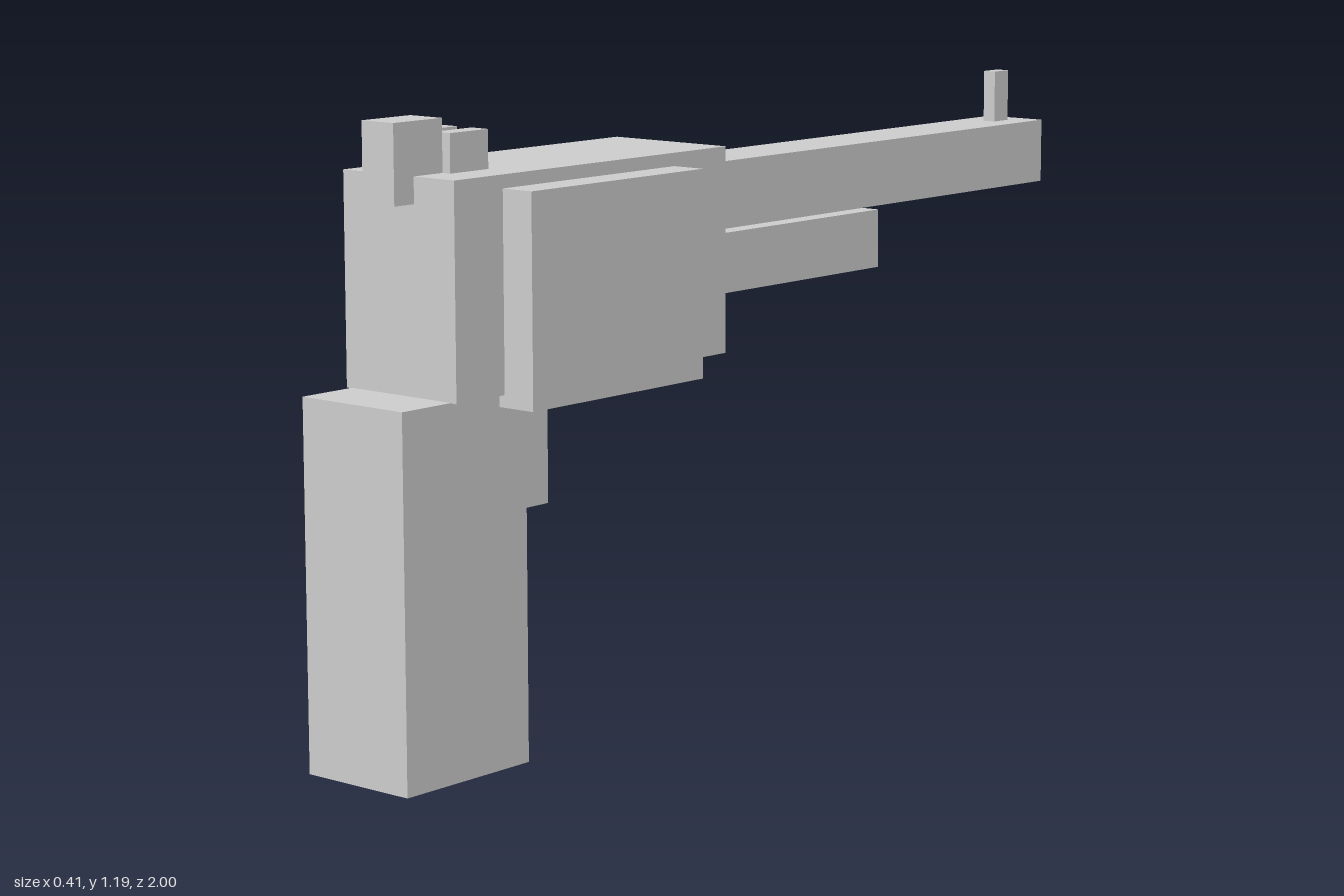
import * as THREE from 'three';

const material = new THREE.MeshStandardMaterial({ color: 0xcccccc, flatShading: true });

// Box given by its x, y and z ranges
function block(name, [x0, x1], [y0, y1], [z0, z1]) {
  const mesh = new THREE.Mesh(new THREE.BoxGeometry(x1 - x0, y1 - y0, z1 - z0), material);
  mesh.name = name;
  mesh.position.set((x0 + x1) / 2, (y0 + y1) / 2, (z0 + z1) / 2);
  return mesh;
}

// Box centred on x = 0
const centred = (name, halfWidth, y, z) => block(name, [-halfWidth, halfWidth], y, z);

export function createModel() {
  const model = new THREE.Group();
  model.name = 'revolver';

  // Body
  model.add(
    centred('grip', 0.124, [0, 0.694], [0.684, 1]),
    centred('frame', 0.137, [0.693, 1.089], [0.137, 0.877]),
    centred('cylinder', 0.206, [0.67, 1.064], [0.286, 0.753]),
    centred('trigger', 0.04, [0.45, 0.694], [0.535, 0.684]),
  );

  // Barrel and the wider lug under it
  model.add(
    centred('barrel', 0.068, [0.918, 1.049], [-1, 0.137]),
    centred('barrelLug', 0.088, [0.797, 0.914], [-0.403, 0.137]),
  );

  // Hammer and sights
  model.add(
    centred('hammer', 0.039, [1.04, 1.187], [0.804, 0.926]),
    centred('frontSight', 0.014, [1.049, 1.155], [-0.951, -0.903]),
  );
  for (const [name, x] of [['rearSightLeft', [0.018, 0.058]], ['rearSightRight', [-0.058, -0.018]]]) {
    model.add(block(name, x, [1.089, 1.161], [0.706, 0.804]));
  }

  return model;
}
